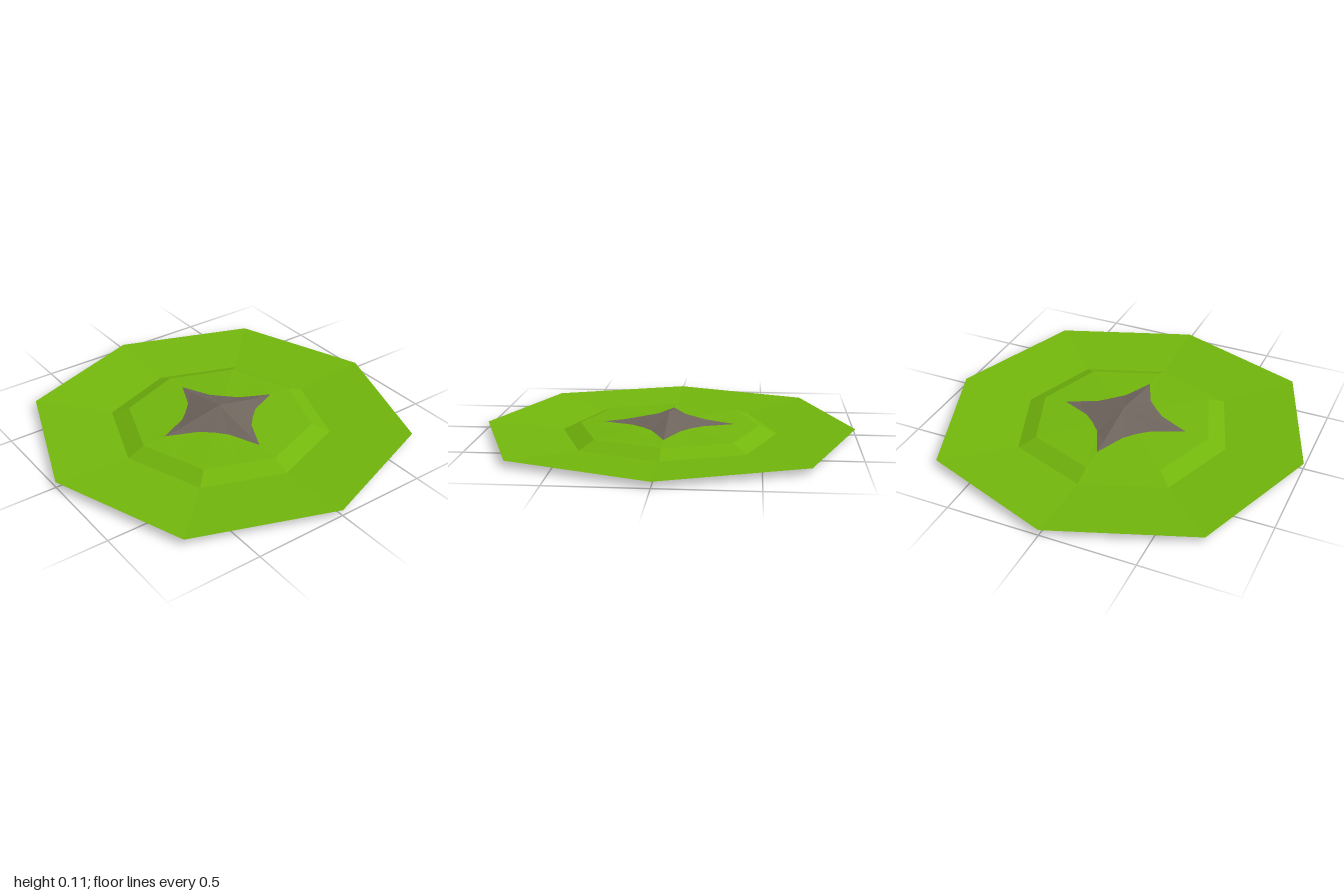
import * as THREE from 'three';

const SEGMENTS = 16;

// Octagon whose diagonal corners reach slightly further, with edge midpoints
function octagon(radius, y) {
  const corner = (k) => {
    const a = (k * Math.PI) / 4;
    const r = radius * (k % 2 ? 1.036 : 1);
    return new THREE.Vector3(r * Math.cos(a), y, -r * Math.sin(a));
  };
  const loop = [];
  for (let k = 0; k < 8; k++) {
    loop.push(corner(k), corner(k).lerp(corner(k + 1), 0.5));
  }
  return loop;
}

// Four-pointed star loop: tip, shoulder, notch, shoulder in every quadrant
function star(tip, tipY) {
  const quarter = [[tip, tipY, 0], [0.19, 0.051, -0.075], [0.13, 0.053, -0.13], [0.075, 0.051, -0.19]];
  const loop = [];
  for (let q = 0; q < 4; q++) {
    for (const [x, y, z] of quarter) {
      loop.push(new THREE.Vector3(x, y, z).applyAxisAngle(new THREE.Vector3(0, 1, 0), (q * Math.PI) / 2));
    }
  }
  return loop;
}

// Skin loops from outside to inside, leaving out collapsed triangles
function skin(loops, material, name) {
  const pos = [];
  const tri = (a, b, c) => {
    if (a.distanceTo(b) < 1e-5 || b.distanceTo(c) < 1e-5 || a.distanceTo(c) < 1e-5) return;
    for (const p of [a, b, c]) pos.push(p.x, p.y, p.z);
  };
  for (let l = 0; l + 1 < loops.length; l++) {
    const outer = loops[l];
    const inner = loops[l + 1];
    for (let i = 0; i < SEGMENTS; i++) {
      const j = (i + 1) % SEGMENTS;
      tri(outer[i], outer[j], inner[i]);
      tri(outer[j], inner[j], inner[i]);
    }
  }
  const geometry = new THREE.BufferGeometry();
  geometry.setAttribute('position', new THREE.Float32BufferAttribute(pos, 3));
  geometry.computeVertexNormals();
  const mesh = new THREE.Mesh(geometry, material);
  mesh.name = name;
  return mesh;
}

export function createModel() {
  const group = new THREE.Group();
  group.name = 'steppedDisc';
  const green = new THREE.MeshStandardMaterial({ color: 0x72b60c, side: THREE.DoubleSide, flatShading: true });
  green.name = 'leaf green';
  const grey = new THREE.MeshStandardMaterial({ color: 0x6e655d, side: THREE.DoubleSide, flatShading: true });
  grey.name = 'stone grey';

  const rim = octagon(1, 0.032);
  const trough = octagon(0.58, 0);
  const step = octagon(0.485, 0.04);
  const outline = star(0.355, 0.047);
  const ridge = star(0.27, 0.056);
  const apex = Array.from({ length: SEGMENTS }, () => new THREE.Vector3(0, 0.11, 0));

  // Wide shallow dish, raised step, gently sloping plateau and peaked star
  group.add(skin([rim, trough], green, 'outerDish'));
  group.add(skin([trough, step], green, 'raisedStep'));
  group.add(skin([step, outline], green, 'plateau'));
  group.add(skin([outline, ridge, apex], grey, 'starPeak'));
  return group;
}
